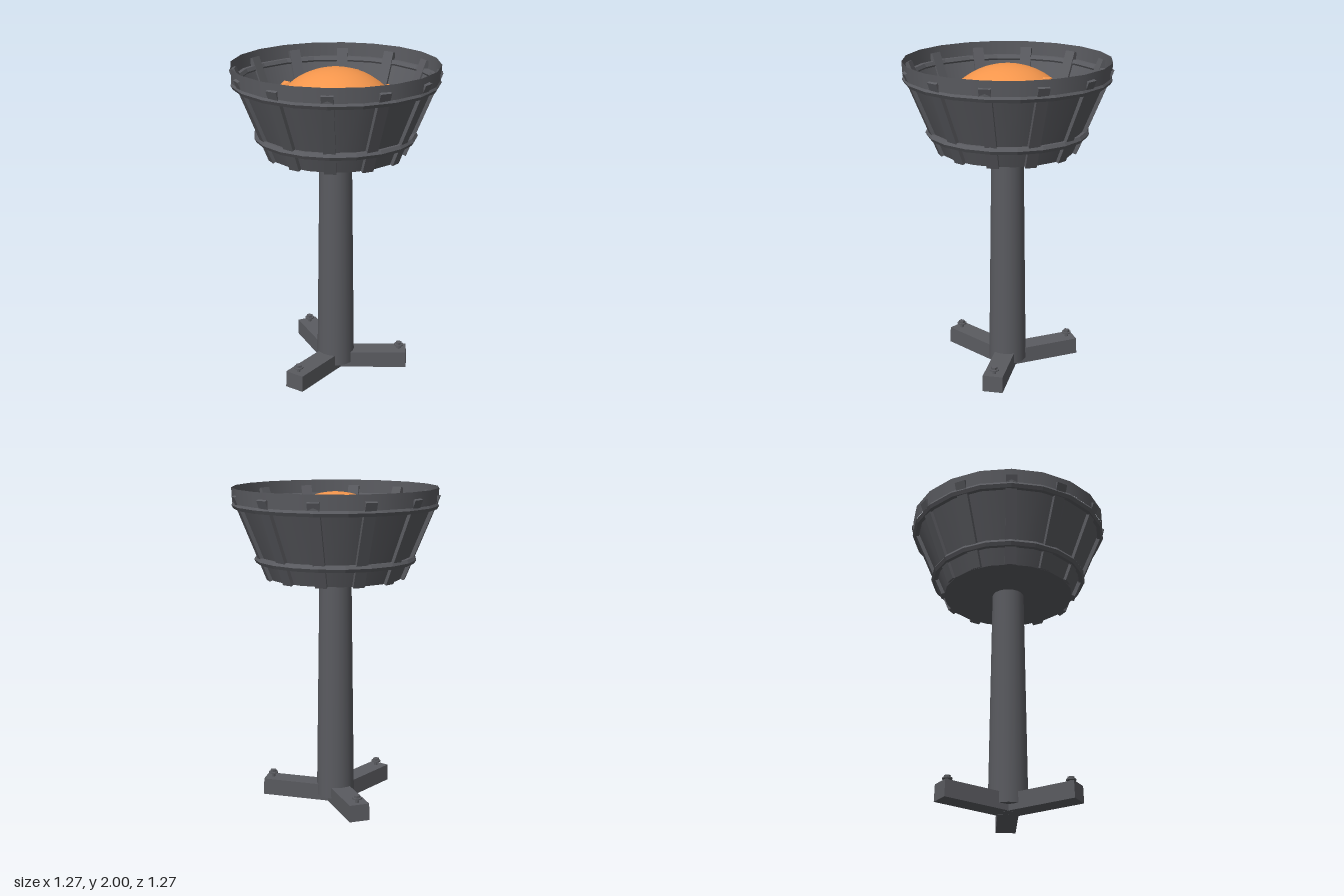
import * as THREE from 'three';

const SIDES = 20;

export function createModel() {
  const model = new THREE.Group();
  const metal = new THREE.MeshStandardMaterial({ color: 0x5a5b60, side: THREE.DoubleSide });
  const metalFlat = new THREE.MeshStandardMaterial({ color: 0x5a5b60, flatShading: true });
  const ember = new THREE.MeshStandardMaterial({ color: 0xf5964c, side: THREE.DoubleSide });
  const emberFlat = new THREE.MeshStandardMaterial({ color: 0xf5964c, flatShading: true });

  const add = (parent, name, geometry, material, x = 0, y = 0, z = 0) => {
    const mesh = new THREE.Mesh(geometry, material);
    mesh.name = name;
    mesh.position.set(x, y, z);
    parent.add(mesh);
    return mesh;
  };

  // Tapered post
  add(model, 'post', new THREE.CylinderGeometry(0.1, 0.12, 1.41, SIDES), metal, 0, 0.745, 0);

  // Three feet, rising slightly outward, each with a bolt
  for (let i = 0; i < 3; i++) {
    const foot = new THREE.Group();
    foot.name = 'foot';
    foot.rotation.y = (i * Math.PI * 2) / 3;
    const bar = add(foot, 'footBar', new THREE.BoxGeometry(0.46, 0.105, 0.125), metalFlat, 0.23, 0.061, 0);
    bar.rotation.z = 0.035;
    add(foot, 'boltShank', new THREE.CylinderGeometry(0.012, 0.012, 0.06, 8), metalFlat, 0.412, 0.125, 0);
    add(foot, 'boltWasher', new THREE.CylinderGeometry(0.03, 0.03, 0.008, 12), metalFlat, 0.412, 0.148, 0);
    add(foot, 'boltHead', new THREE.CylinderGeometry(0.02, 0.02, 0.016, 6), metalFlat, 0.412, 0.158, 0);
    model.add(foot);
  }

  // Basket wall, floor and rim band
  const basket = new THREE.Group();
  basket.name = 'basket';
  model.add(basket);
  add(basket, 'wall', new THREE.CylinderGeometry(0.59, 0.412, 0.435, SIDES, 1, true), metal, 0, 1.6675, 0);
  const floor = add(basket, 'floor', new THREE.CircleGeometry(0.412, SIDES), metal, 0, 1.45, 0);
  floor.rotation.set(Math.PI / 2, 0, Math.PI / 2);
  add(basket, 'rimBand', new THREE.CylinderGeometry(0.63, 0.625, 0.09, SIDES, 1, true), metal, 0, 1.955, 0);

  // Hoops
  for (const [radius, y] of [[0.607, 1.895], [0.475, 1.565]]) {
    const hoop = add(basket, 'hoop', new THREE.TorusGeometry(radius, 0.024, 6, SIDES), metalFlat, 0, y, 0);
    hoop.rotation.x = Math.PI / 2;
  }

  // Twelve leaning staves, poking through the band at the top
  const tilt = Math.atan(0.41);
  for (let i = 0; i < 12; i++) {
    const arm = new THREE.Group();
    arm.name = 'staveArm';
    arm.rotation.y = (i * Math.PI) / 6;
    const stave = add(arm, 'stave', new THREE.BoxGeometry(0.036, 0.55, 0.07), metalFlat, 0.516, 1.705, 0);
    stave.rotation.z = -tilt;
    basket.add(arm);
  }

  // Glowing heap: a dome resting on the basket floor
  const [domeR, domeH, domeY] = [0.41, 0.37, 1.6];
  const dome = add(model, 'emberDome',
    new THREE.SphereGeometry(domeR, 24, 16, 0, Math.PI * 2, 0, Math.PI * 0.61), ember, 0, domeY, 0);
  dome.scale.y = domeH / domeR;

  // Coals half sunk in the dome: x, z, width, depth, turn
  const coals = [
    [0.08, -0.25, 0.075, 0.04, -0.15],
    [-0.31, -0.035, 0.05, 0.06, 0.3],
    [-0.305, 0.125, 0.065, 0.055, -0.4],
    [0.325, -0.055, 0.05, 0.06, 0.9],
    [0.285, 0.115, 0.06, 0.05, 0.5],
  ];
  for (const [x, z, w, d, turn] of coals) {
    const y = domeY + domeH * Math.sqrt(1 - (x * x + z * z) / (domeR * domeR));
    const coal = add(model, 'coal', new THREE.IcosahedronGeometry(1, 0), emberFlat, x, y, z);
    coal.scale.set(w, 0.035, d);
    const normal = new THREE.Vector3(x, (y - domeY) * (domeR / domeH) ** 2, z).normalize();
    coal.quaternion.setFromUnitVectors(new THREE.Vector3(0, 1, 0), normal);
    coal.rotateY(turn);
  }

  return model;
}
